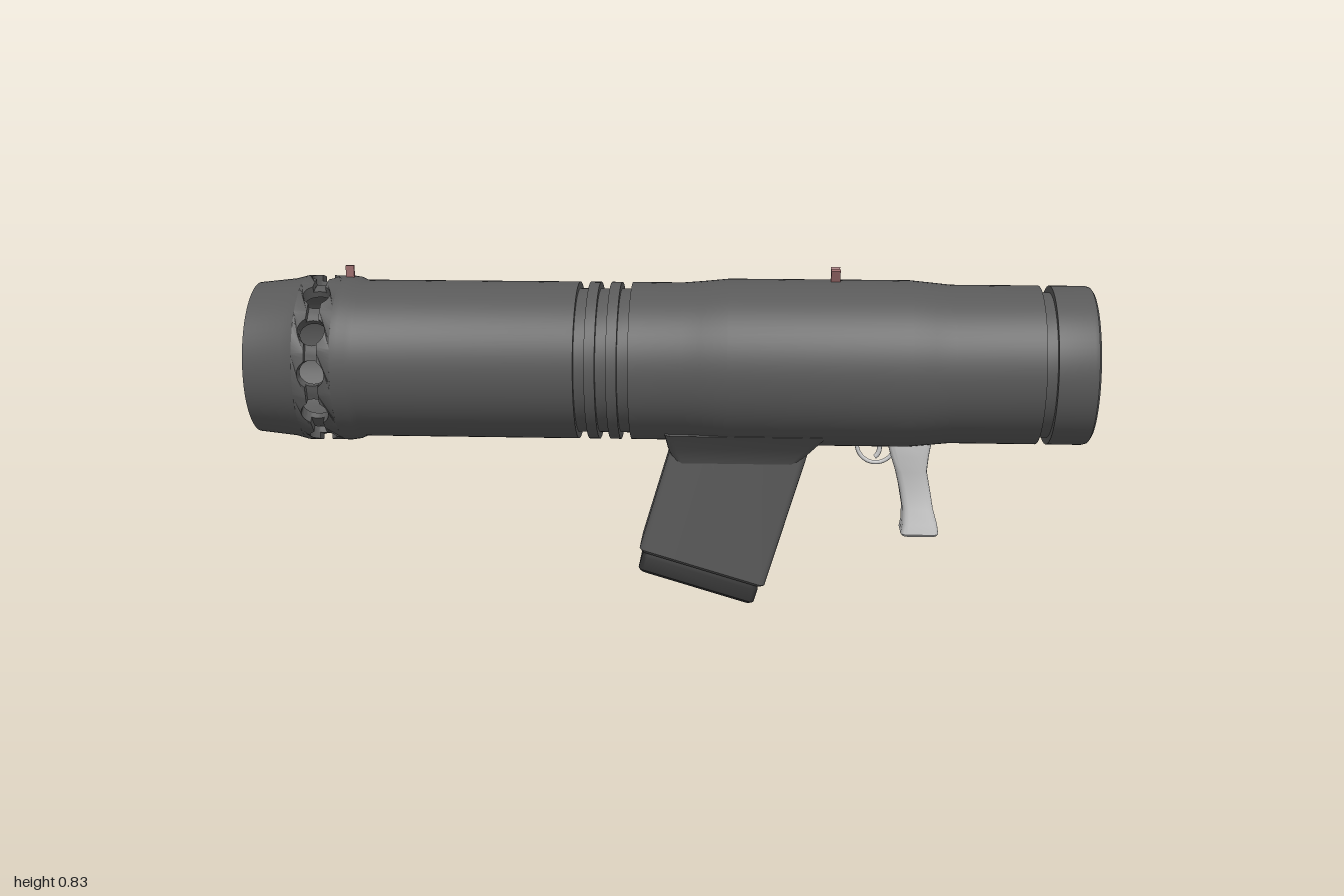
import * as THREE from 'three';
import { toCreasedNormals, mergeGeometries } from 'three/addons/utils/BufferGeometryUtils.js';

const AXIS_Y = 0.605; // height of the tube axis
const paint = (color) => new THREE.MeshStandardMaterial({ color });
const dark = paint(0x595959), black = paint(0x303030), grey = paint(0xcccccc), red = paint(0x9c6c6c);

function add(parent, name, geometry, material) {
  const mesh = new THREE.Mesh(geometry, material);
  mesh.name = name;
  parent.add(mesh);
  return mesh;
}

// Solid of revolution about the x axis from [x, radius] points
function turned(points) {
  const g = new THREE.LatheGeometry(points.map(([x, r]) => new THREE.Vector2(r, x)), 72);
  g.rotateZ(-Math.PI / 2);
  return toCreasedNormals(g, 0.5);
}

// Loft of rounded rectangles, bottom to top: [centreX, centreY, halfX, halfZ], tilted about z
function loft(sections, radius, tilt = 0) {
  const ring = 16, pos = [], idx = [];
  for (const [cx, cy, hx, hz] of sections) {
    for (let i = 0; i < ring; i++) {
      const corner = Math.floor(i / 4);
      const a = (corner + (i % 4) / 3) * Math.PI / 2;
      const u = (corner === 0 || corner === 3 ? 1 : -1) * (hx - radius) + radius * Math.cos(a);
      const v = (corner < 2 ? 1 : -1) * (hz - radius) + radius * Math.sin(a);
      pos.push(cx + u * Math.cos(tilt), cy + u * Math.sin(tilt), v);
    }
  }
  const last = (sections.length - 1) * ring;
  for (let s = 0; s < last; s += ring) {
    for (let i = 0; i < ring; i++) {
      const j = (i + 1) % ring;
      idx.push(s + i, s + ring + i, s + ring + j, s + i, s + ring + j, s + j);
    }
  }
  for (let i = 1; i < ring - 1; i++) idx.push(0, i, i + 1, last, last + i + 1, last + i);
  const g = new THREE.BufferGeometry();
  g.setAttribute('position', new THREE.Float32BufferAttribute(pos, 3));
  g.setIndex(idx);
  return toCreasedNormals(g, 0.6);
}

// Twelve flat cells extruded and bent around the x axis
const CELLS = 12, R = 0.19, HALF = R * Math.PI / CELLS, HOLE = 0.032;
function bentRing(shape, innerR, thickness, x) {
  const cells = [];
  for (let k = 0; k < CELLS; k++) {
    const g = new THREE.ExtrudeGeometry(shape, { depth: thickness, bevelEnabled: false, curveSegments: 20 });
    const p = g.attributes.position;
    for (let i = 0; i < p.count; i++) {
      const angle = p.getY(i) / R + k * 2 * Math.PI / CELLS, r = innerR + p.getZ(i);
      p.setXYZ(i, x + p.getX(i), r * Math.cos(angle), -r * Math.sin(angle));
    }
    cells.push(g);
  }
  return toCreasedNormals(mergeGeometries(cells), 0.5);
}

// Cell outline between two edges, each x given as a function of s
function cellShape(edgeA, edgeB, steps) {
  const a = [], b = [];
  for (let i = 0; i <= steps; i++) {
    const s = HALF * (2 * i / steps - 1);
    a.push(new THREE.Vector2(edgeA(s), s));
    b.unshift(new THREE.Vector2(edgeB(s), s));
  }
  return new THREE.Shape([...a, ...b]);
}

export function createModel() {
  const model = new THREE.Group();
  model.name = 'shoulderLauncher';
  const tube = new THREE.Group();
  tube.name = 'tube';
  tube.position.y = AXIS_Y;
  model.add(tube);

  // Main barrel with grooves, swollen middle and recessed front cap
  const groove = (x, r = 0.19) => [[x - 0.013, r], [x - 0.013, 0.174], [x + 0.013, 0.174], [x + 0.013, r]];
  add(tube, 'barrel', turned([
    [-0.7, 0], [-0.7, 0.17], [-0.79, 0.17], [-0.79, 0.2], [-0.775, 0.2], [-0.755, 0.197], [-0.74, 0.19],
    ...groove(-0.207), ...groove(-0.156), ...groove(-0.105),
    [0.03, 0.19], [0.08, 0.194], [0.14, 0.2], [0.57, 0.2], [0.62, 0.195], [0.67, 0.19],
    ...groove(0.889),
    [0.985, 0.19], [0.995, 0.187], [1, 0.18], [1, 0.133], [0.975, 0.133], [0.975, 0],
  ]), dark);

  // Open rear nozzle
  add(tube, 'rearNozzle', turned([
    [-0.88, 0.17], [-1, 0.17], [-1, 0.182], [-0.91, 0.192], [-0.88, 0.2], [-0.88, 0.17],
  ]), dark);

  // Vent ring: perforated sleeve with a scalloped band on each side of a narrow groove
  const sleeve = cellShape(() => 0.045, () => -0.045, 8);
  sleeve.holes.push(new THREE.Path().absarc(0, 0, HOLE, 0, Math.PI * 2, true));
  add(tube, 'ventSleeve', bentRing(sleeve, 0.17, 0.015, -0.835), dark);
  const scallop = (s) => Math.max(0.015, Math.sqrt(Math.max(0, HOLE * HOLE - s * s)));
  for (const side of [-1, 1]) {
    const band = cellShape(() => side * 0.045, (s) => side * scallop(s), 24);
    add(tube, side < 0 ? 'rearVentBand' : 'frontVentBand', bentRing(band, 0.185, 0.015, -0.835), dark);
  }

  // Slanted magazine, its darker base and the flared well
  const tilt = -0.29;
  const along = (s, hx, hz) => [0.078 - Math.sin(tilt) * s, 0.098 + Math.cos(tilt) * s, hx, hz];
  add(model, 'magazine', loft([
    along(0, 0.153, 0.071), along(0.007, 0.16, 0.078), along(0.38, 0.16, 0.078),
  ], 0.015, tilt), dark);
  add(model, 'magazineBase', loft([
    along(-0.052, 0.141, 0.06), along(-0.045, 0.148, 0.067), along(-0.012, 0.148, 0.067), along(0.005, 0.142, 0.062),
  ], 0.012, tilt), black);
  add(model, 'magazineWell', loft([
    [0.16, 0.365, 0.148, 0.076], [0.165, 0.385, 0.16, 0.084], [0.172, 0.41, 0.175, 0.1], [0.185, 0.45, 0.195, 0.13],
  ], 0.02), dark);

  // Pistol grip
  add(model, 'grip', loft([
    [0.61, 0.182, 0.042, 0.043], [0.61, 0.188, 0.046, 0.047], [0.61, 0.212, 0.042, 0.045],
    [0.604, 0.25, 0.037, 0.039], [0.595, 0.3, 0.037, 0.037], [0.585, 0.345, 0.038, 0.043],
    [0.58, 0.385, 0.046, 0.049], [0.578, 0.43, 0.055, 0.05],
  ], 0.015), grey);

  // Trigger and its guard
  const guard = add(model, 'triggerGuard', new THREE.TorusGeometry(0.046, 0.005, 8, 24, Math.PI), grey);
  guard.position.set(0.5, 0.404, 0);
  guard.rotation.z = Math.PI;
  const triggerPath = new THREE.QuadraticBezierCurve3(
    new THREE.Vector3(0.505, 0.412, 0), new THREE.Vector3(0.515, 0.385, 0), new THREE.Vector3(0.498, 0.372, 0));
  add(model, 'trigger', new THREE.TubeGeometry(triggerPath, 8, 0.006, 8), grey);

  // V-shaped front sight and single rear post
  for (const side of [-1, 1]) {
    const prong = add(model, 'frontSightProng', new THREE.BoxGeometry(0.022, 0.036, 0.011), red);
    prong.position.set(0.393, 0.817, side * 0.012);
    prong.rotation.x = side * 0.4;
  }
  add(model, 'rearSight', new THREE.BoxGeometry(0.02, 0.04, 0.008), red).position.set(-0.775, 0.812, 0);

  return model;
}
